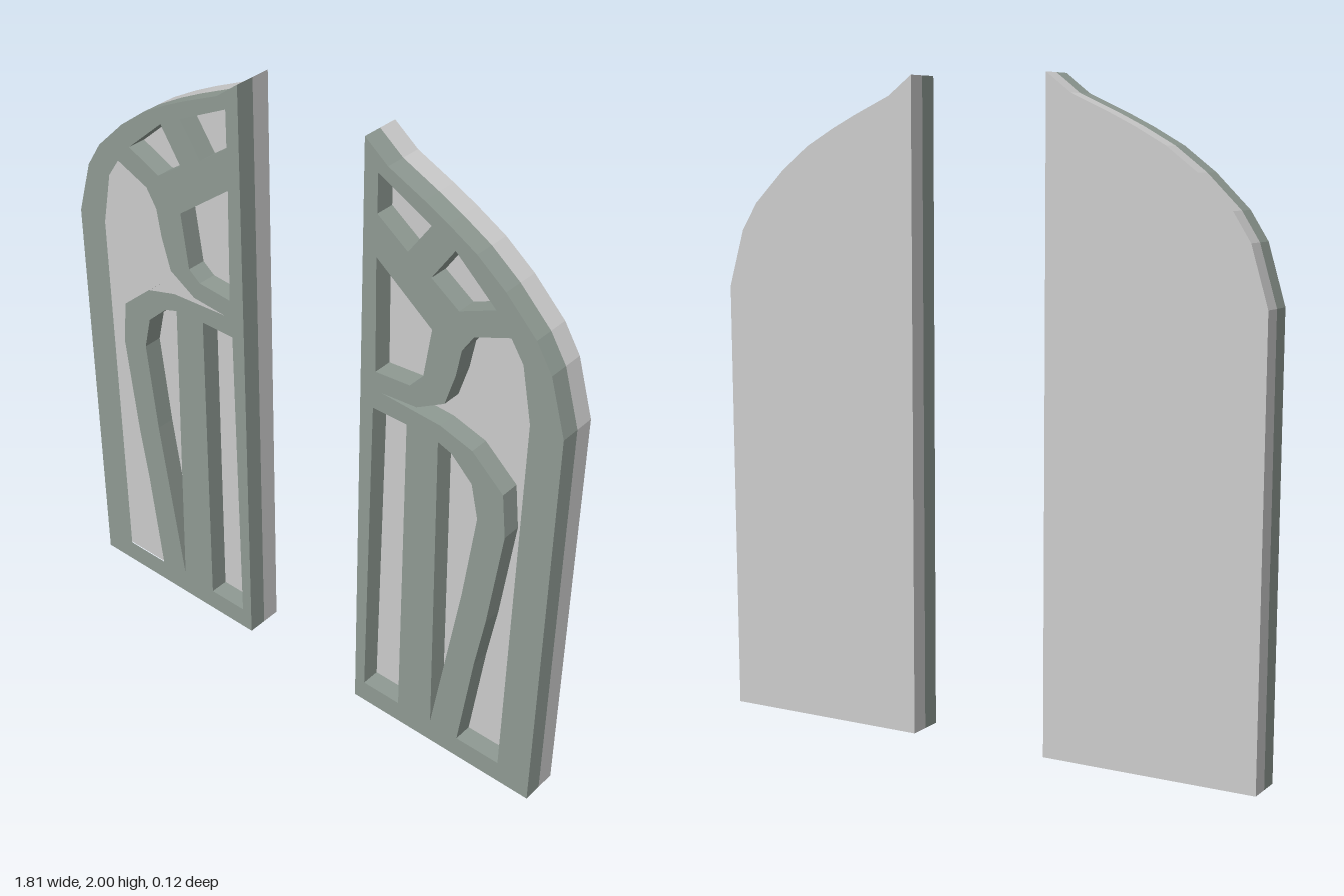
import * as THREE from 'three';

const HALF_DEPTH = 0.062;

// Outer outline of one leaf, on the +x side
const outline = [
  [0.225, 0], [0.9, 0], [0.907, 1.355], [0.854, 1.533], [0.8, 1.618], [0.696, 1.72],
  [0.6, 1.793], [0.505, 1.846], [0.426, 1.885], [0.304, 1.94], [0.225, 2],
];

// Openings in the tracery
const openings = [
  // top light and its neighbour
  [[0.272, 1.91], [0.452, 1.82], [0.378, 1.713], [0.272, 1.788]],
  [[0.532, 1.777], [0.67, 1.655], [0.553, 1.602], [0.458, 1.666]],
  // middle light
  [[0.272, 1.655], [0.468, 1.507], [0.442, 1.326], [0.4, 1.294], [0.278, 1.284]],
  // large sweeping light along the outer edge
  [[0.722, 1.592], [0.606, 1.544], [0.569, 1.485], [0.553, 1.395], [0.521, 1.289], [0.426, 1.232],
    [0.3, 1.222], [0.51, 1.21], [0.622, 1.178], [0.733, 1.082], [0.749, 0.939], [0.706, 0.6],
    [0.675, 0.414], [0.63, 0.074], [0.786, 0.074], [0.8, 1.353], [0.765, 1.528]],
  // tapering light
  [[0.505, 1.151], [0.553, 1.135], [0.627, 1.066], [0.653, 0.955], [0.616, 0.652], [0.527, 0.08]],
  // tall straight light
  [[0.272, 1.157], [0.394, 1.157], [0.4, 0.074], [0.262, 0.074]],
];

export function createModel() {
  const group = new THREE.Group();
  const panelMaterial = new THREE.MeshStandardMaterial({ color: 0xcccccc, flatShading: true });
  const traceryMaterial = new THREE.MeshStandardMaterial({ color: 0x8f9a93, flatShading: true });

  for (const side of [1, -1]) {
    const points = (list) => list.map(([x, y]) => new THREE.Vector2(side * x, y));
    const extrude = (shape) =>
      new THREE.ExtrudeGeometry(shape, { depth: HALF_DEPTH, bevelEnabled: false });

    const leaf = new THREE.Group();
    leaf.name = side > 0 ? 'leftLeaf' : 'rightLeaf';

    // Solid back panel
    const panel = new THREE.Mesh(extrude(new THREE.Shape(points(outline))), panelMaterial);
    panel.name = 'backPanel';
    panel.position.z = -HALF_DEPTH;

    // Raised tracery with openings
    const shape = new THREE.Shape(points(outline));
    shape.holes = openings.map((list) => new THREE.Path(points(list)));
    const tracery = new THREE.Mesh(extrude(shape), traceryMaterial);
    tracery.name = 'tracery';

    leaf.add(panel, tracery);
    group.add(leaf);
  }
  return group;
}
